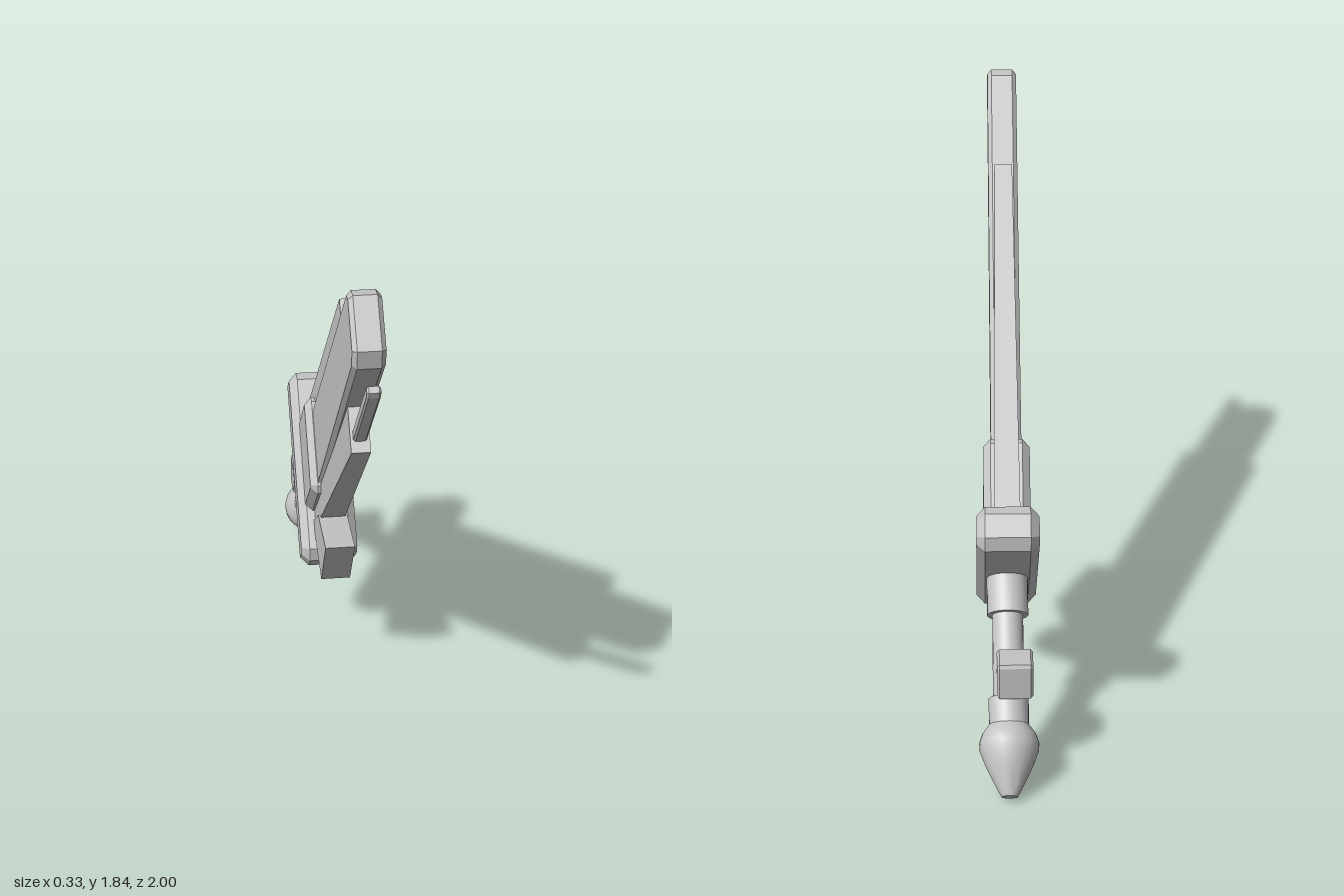
import * as THREE from 'three';
import { toCreasedNormals } from 'three/addons/utils/BufferGeometryUtils.js';

export function createModel() {
  const model = new THREE.Group();
  model.name = 'sword';
  const steel = new THREE.MeshStandardMaterial({ color: 0xc4c4c4 });
  steel.name = 'plain grey';

  // Sword frame: y runs up the blade, z towards the cutting edge, x is thickness
  const sword = new THREE.Group();
  sword.name = 'swordBody';
  sword.rotation.order = 'YXZ';
  sword.rotation.set(0.798, 0.107, 0);
  sword.position.set(-0.037, 0.477, -0.512);
  model.add(sword);

  const add = (name, geometry) => {
    const mesh = new THREE.Mesh(geometry, steel);
    mesh.name = name;
    sword.add(mesh);
    return mesh;
  };

  // Plate with an outline in [z, y], a thickness, a chamfer, and a tip/base thickness ratio
  const plate = (name, outline, thickness, bevel = 0, tipScale = 1) => {
    const shape = new THREE.Shape(outline.map(([z, y]) => new THREE.Vector2(z, y)));
    const g = new THREE.ExtrudeGeometry(shape, {
      depth: thickness - 2 * bevel, bevelEnabled: bevel > 0, bevelThickness: bevel,
      bevelSize: bevel, bevelOffset: -bevel, bevelSegments: 1,
    });
    g.rotateY(-Math.PI / 2);
    g.center().translate(
      0,
      (Math.min(...outline.map(p => p[1])) + Math.max(...outline.map(p => p[1]))) / 2,
      (Math.min(...outline.map(p => p[0])) + Math.max(...outline.map(p => p[0]))) / 2
    );
    if (tipScale !== 1) {
      g.computeBoundingBox();
      const { min, max } = g.boundingBox;
      const p = g.attributes.position;
      for (let i = 0; i < p.count; i++) {
        const t = (p.getY(i) - min.y) / (max.y - min.y);
        p.setX(i, p.getX(i) * (1 + (tipScale - 1) * t));
      }
      g.computeVertexNormals();
    }
    return add(name, g);
  };

  // Rectangle with cut corners
  const cutBox = (z0, z1, y0, y1, c) => [
    [z0 + c, y0], [z1 - c, y0], [z1, y0 + c], [z1, y1 - c],
    [z1 - c, y1], [z0 + c, y1], [z0, y1 - c], [z0, y0 + c],
  ];

  // Blade core and its two side strips
  plate('blade', [
    [-0.145, 0.15], [0.147, 0.15], [0.122, 1.83], [0.085, 1.88], [-0.085, 1.88], [-0.115, 1.84],
  ], 0.1, 0.014);
  plate('backStrip', [[-0.219, 0.18], [-0.1, 0.18], [-0.1, 1.45], [-0.216, 1.45]], 0.085, 0, 0.7);
  plate('edgeStrip', [[0.1, 0.18], [0.228, 0.18], [0.273, 1.445], [0.1, 1.445]], 0.09, 0, 0.67);
  plate('edgeSpike', [
    [0.2, 1.4], [0.238, 1.4], [0.225, 1.885], [0.216, 1.905], [0.195, 1.905], [0.189, 1.885],
  ], 0.042, 0.006);

  // Guard, block at the blade root, and hook in front of the guard
  plate('guard', cutBox(-0.355, 0.34, 0.058, 0.205, 0.035), 0.2, 0.028);
  plate('rootBlock', cutBox(-0.18, 0.165, 0.15, 0.487, 0.022), 0.152, 0.024);
  plate('guardHook', [[0.224, 0.389], [0.2, 0.2], [0.25, 0.2], [0.437, 0.323], [0.381, 0.573]], 0.1);

  // Turned handle: collar, grip, ring and pommel
  const turned = (name, profile) => {
    const g = new THREE.LatheGeometry(profile.map(([r, y]) => new THREE.Vector2(r, y)), 24);
    add(name, toCreasedNormals(g, 0.6)).position.z = -0.01;
  };
  const band = (name, r, y0, y1) => turned(name, [[0, y0], [r, y0], [r, y1], [0, y1]]);
  band('collar', 0.067, -0.066, 0.08);
  band('grip', 0.05, -0.4, 0);
  band('lowerRing', 0.064, -0.45, -0.34);
  turned('pommel', [
    [0, -0.66], [0.026, -0.655], [0.04, -0.63], [0.075, -0.56], [0.094, -0.51],
    [0.096, -0.485], [0.086, -0.455], [0.06, -0.42], [0, -0.42],
  ]);

  // Hook on the back of the grip
  plate('gripHook', [
    [-0.02, -0.2], [-0.089, -0.198], [-0.164, -0.268], [-0.16, -0.28], [-0.082, -0.357], [-0.02, -0.3],
  ], 0.115, 0.008).position.x = -0.02;

  return model;
}
